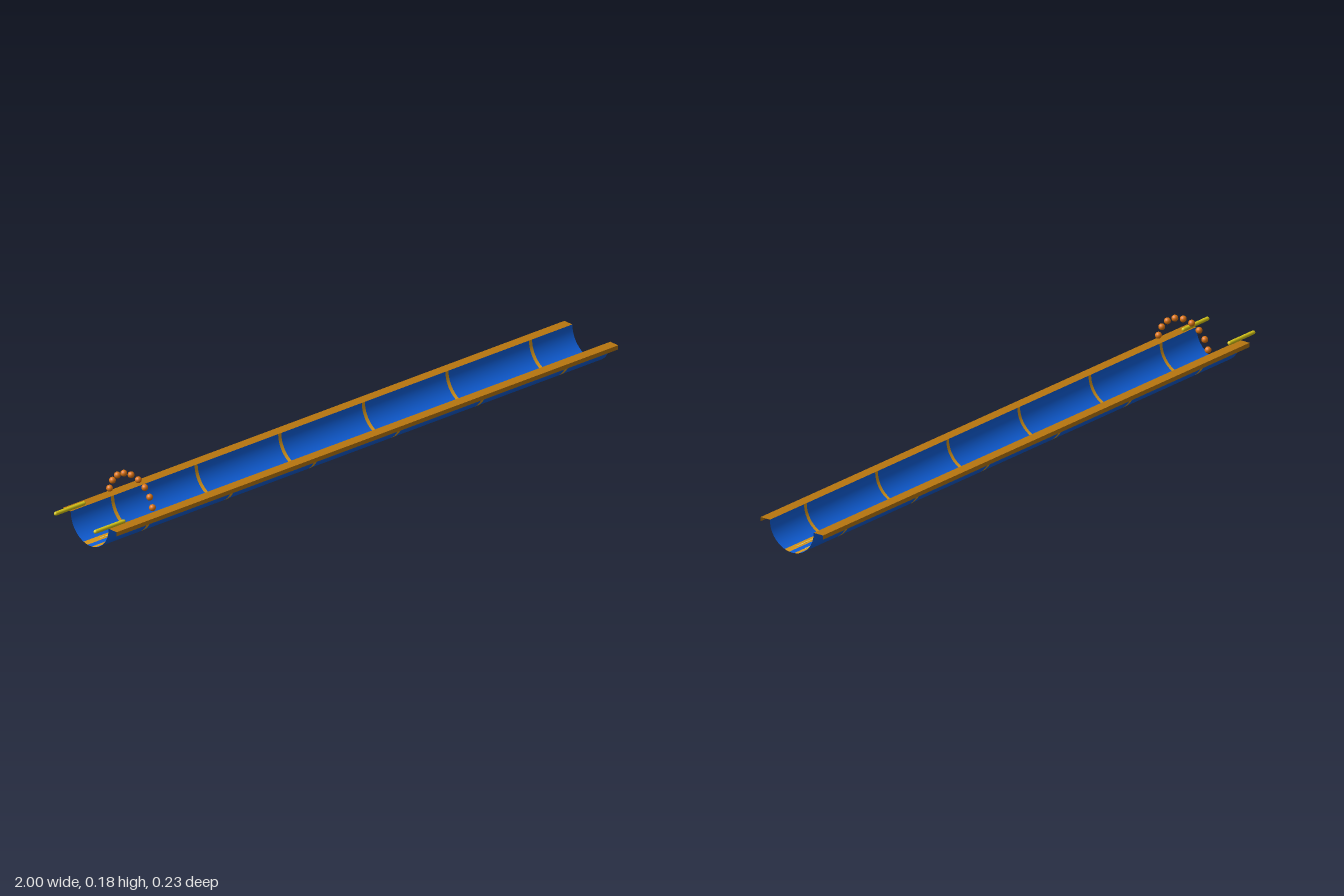
import * as THREE from 'three';

const R = 0.081, X0 = -0.94, X1 = 1.0;

function mat(name, color, open) {
  const m = new THREE.MeshStandardMaterial({ color });
  m.name = name;
  if (open) m.side = THREE.DoubleSide;
  return m;
}

// Open surface: a [z, y] profile swept along x
function sweep(profile, xa, xb) {
  const pos = [], idx = [];
  profile.forEach(([z, y], i) => {
    pos.push(xa, y, z, xb, y, z);
    if (i) {
      const a = 2 * i - 2;
      idx.push(a, a + 2, a + 1, a + 1, a + 2, a + 3);
    }
  });
  const g = new THREE.BufferGeometry();
  g.setAttribute('position', new THREE.Float32BufferAttribute(pos, 3));
  g.setIndex(idx);
  g.computeVertexNormals();
  return g;
}

// Part of the half-pipe section, angles measured from the lowest point
function arc(a, b) {
  const n = Math.max(2, Math.ceil(Math.abs(b - a) / 0.08));
  return Array.from({ length: n + 1 }, (_, i) => {
    const t = a + (b - a) * i / n;
    return [R * Math.sin(t), R - R * Math.cos(t)];
  });
}

export function createModel() {
  const model = new THREE.Group();
  model.name = 'slideTrough';
  const blue = mat('slide blue', 0x1060dc, true);
  const gold = mat('band gold', 0xdd9a1c, true);
  const brown = mat('rim amber', 0xb8760f, true);
  const orange = mat('ball orange', 0xdc7412);
  const yellow = mat('rod yellow', 0xd8c818);
  const pale = mat('dash pale gold', 0xeccb62);

  function add(name, geometry, material, x = 0, y = 0, z = 0) {
    const m = new THREE.Mesh(geometry, material);
    m.name = name;
    m.position.set(x, y, z);
    model.add(m);
    return m;
  }

  // Trough shell: blue panels divided by gold rings and two long stripes
  const H = Math.PI / 2, s0 = 0.11, s1 = 0.33;
  const pitch = (X1 - X0) / 6, ringHalf = 0.006;
  const blueArcs = [[-H, -s1], [-s0, s0], [s1, H]];
  let start = X0;
  for (let i = 0; i <= 6; i++) {
    const ringX = X0 + (i + 0.5) * pitch;
    const end = i < 6 ? ringX - ringHalf : X1;
    for (const [a, b] of blueArcs) {
      add('troughPanel', sweep(arc(a, b), start, end), blue);
      if (i < 6) add('ringBand', sweep(arc(a, b), end, ringX + ringHalf), gold);
    }
    start = ringX + ringHalf;
  }
  add('floorStripeRight', sweep(arc(-s1, -s0), X0, X1), gold);
  add('floorStripeLeft', sweep(arc(s0, s1), X0, X1), gold);

  // Rims: flat ledge with a turned-down lip
  for (const s of [-1, 1]) {
    const ledge = [[s * R, R], [s * 0.115, R]];
    const lip = [[s * 0.115, R], [s * 0.115, 0.068]];
    if (s < 0) { ledge.reverse(); lip.reverse(); }
    add('rimLedge', sweep(ledge, X0, X1), brown);
    add('rimLip', sweep(lip, X0, X1), brown);

    // Thin dashes on the floor stripes
    for (let i = 0; i < 9; i++) {
      add('floorDash', new THREE.BoxGeometry(0.13, 0.001, 0.004), pale,
        -0.82 + i * 0.214, 0.003, s * 0.015);
    }

    // Entry grab rods
    const rod = add('entryRod', new THREE.CapsuleGeometry(0.006, 0.108, 6, 14), yellow,
      -0.94, 0.089, s * 0.085);
    rod.rotation.z = Math.PI / 2;
  }

  // Arch of balls over the entry
  const ball = new THREE.SphereGeometry(0.01, 18, 12);
  for (let i = 0; i < 9; i++) {
    const t = H + (i - 4) * 0.336;
    add('archBall', ball, orange, -0.78, 0.081 + 0.094 * Math.sin(t), 0.094 * Math.cos(t));
  }
  return model;
}
